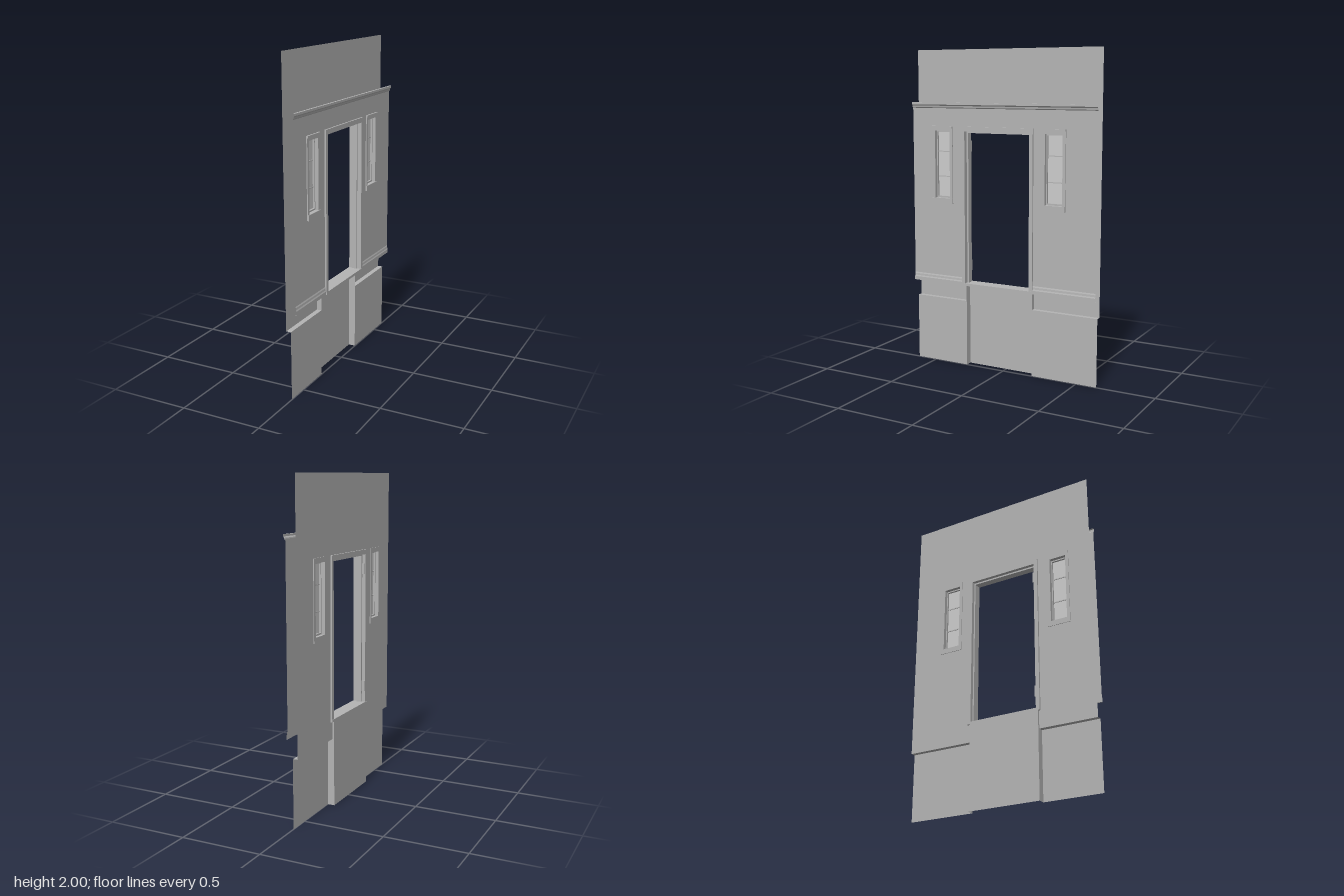
import * as THREE from 'three';

export function createModel() {
  const group = new THREE.Group();
  const plaster = new THREE.MeshStandardMaterial({ color: 0xb4b4b4, side: THREE.DoubleSide });
  plaster.name = 'grey plaster';
  const glass = new THREE.MeshStandardMaterial({ color: 0xcccccc, side: THREE.DoubleSide });
  glass.name = 'pale glass';

  const END = 0.633;                      // half length of the wall
  const FRONT = 0.03, BACK = -0.033;      // the two wall skins
  const door = { z0: -0.222, z1: 0.275, top: 1.53, bottom: 0.53 };
  const windows = [[0.34, 0.487], [-0.434, -0.28]];
  const winY = [1.045, 1.53];

  function add(name, geometry, material = plaster) {
    const mesh = new THREE.Mesh(geometry, material);
    mesh.name = name;
    group.add(mesh);
    return mesh;
  }

  function box(name, x0, x1, y0, y1, z0, z1, material) {
    const g = new THREE.BoxGeometry(x1 - x0, y1 - y0, z1 - z0);
    g.translate((x0 + x1) / 2, (y0 + y1) / 2, (z0 + z1) / 2);
    return add(name, g, material);
  }

  // Open sheet swept between two ends; place(p, t) gives a corner
  function sweep(name, path, a, b, place) {
    const v = [];
    for (let i = 0; i < path.length - 1; i++) {
      const p = place(path[i], a), q = place(path[i + 1], a);
      const r = place(path[i + 1], b), s = place(path[i], b);
      v.push(...p, ...q, ...r, ...p, ...r, ...s);
    }
    const g = new THREE.BufferGeometry();
    g.setAttribute('position', new THREE.Float32BufferAttribute(v, 3));
    g.computeVertexNormals();
    return add(name, g);
  }
  const alongZ = ([x, y], z) => [x, y, z];
  const alongY = ([x, z], y) => [x, y, z];

  const rect = (Type, z0, z1, y0, y1) => new Type([
    new THREE.Vector2(-z1, y0), new THREE.Vector2(-z0, y0),
    new THREE.Vector2(-z0, y1), new THREE.Vector2(-z1, y1)]);

  // Rectangular ring in the wall plane, from x0 to x1
  function ring(name, x0, x1, outer, inner) {
    const shape = rect(THREE.Shape, ...outer);
    shape.holes.push(rect(THREE.Path, ...inner));
    const g = new THREE.ExtrudeGeometry(shape, { depth: x1 - x0, bevelEnabled: false });
    g.rotateY(Math.PI / 2).translate(x0, 0, 0);
    return add(name, g);
  }

  // Wall skin with a doorway notch and two window holes
  function skin(name, x, bottom, top, z0, z1) {
    const pts = [[END, bottom], [z1, bottom], [z1, 1.515], [z0, 1.515],
      [z0, bottom], [-END, bottom], [-END, top], [END, top]];
    const shape = new THREE.Shape(pts.map(([z, y]) => new THREE.Vector2(-z, y)));
    for (const [a, b] of windows) {
      shape.holes.push(rect(THREE.Path, a + 0.01, b - 0.01, winY[0] + 0.01, winY[1] - 0.01));
    }
    const g = new THREE.ShapeGeometry(shape);
    g.rotateY(Math.PI / 2).translate(x, 0, 0);
    return add(name, g);
  }

  skin('outerWall', FRONT, 0.53, 1.65, -0.21, 0.262);
  skin('innerWall', BACK, 0.42, 2, -0.2, 0.265);

  // Cornice and baseboard mouldings
  sweep('cornice', [[FRONT, 1.64], [0.035, 1.645], [0.037, 1.655], [0.043, 1.662],
    [0.043, 1.675], [FRONT, 1.675]], -END, END, alongZ);
  for (const [a, b] of [[door.z1, END], [-END, door.z0]]) {
    sweep('baseboard', [[FRONT, 0.58], [0.033, 0.572], [0.034, 0.56], [0.037, 0.552],
      [0.037, 0.53], [FRONT, 0.53]], a, b, alongZ);
  }

  // Foundation: side panels with ledges, recessed panel below the door
  for (const [a, b] of [[0.265, END], [-END, -0.2]]) {
    sweep('foundationPanel', [[BACK, 0.42], [-0.002, 0.42], [-0.002, 0]], a, b, alongZ);
  }
  sweep('stepPanel', [[-0.002, 0.265], [-0.045, 0.265], [-0.045, -0.2], [-0.002, -0.2]],
    0, 0.53, alongY);

  // Door frame: casing, stop, threshold and hinges
  const zA = -0.198, zB = 0.25;
  for (const [a, b] of [[door.z0, zA], [zB, door.z1]]) {
    box('doorJamb', -0.043, 0.04, door.bottom, door.top, a, b);
  }
  box('doorHead', -0.043, 0.04, 1.5, door.top, zA, zB);
  box('doorThreshold', -0.045, 0.041, door.bottom, 0.546, door.z0, door.z1);
  box('doorStop', -0.02, 0.012, 0.546, 1.5, zA, -0.19);
  box('doorStop', -0.02, 0.012, 0.546, 1.5, 0.239, zB);
  box('doorStopHead', -0.02, 0.012, 1.49, 1.5, -0.19, 0.239);
  for (const y of [0.652, 1.408]) {
    box('hinge', -0.04, -0.022, y - 0.034, y + 0.034, 0.242, zB);
  }

  // Windows: casing, sill, sash, glass and glazing bars
  for (const [a, b] of windows) {
    ring('windowCasing', -0.037, 0.036, [a, b, ...winY], [a + 0.02, b - 0.02, 1.078, 1.5]);
    box('windowHead', FRONT, 0.041, 1.518, winY[1], a, b);
    box('windowSill', FRONT, 0.041, winY[0], 1.078, a, b);
    ring('windowSash', -0.014, 0.014, [a + 0.019, b - 0.019, 1.077, 1.501],
      [a + 0.026, b - 0.026, 1.088, 1.492]);
    box('windowGlass', -0.002, 0.002, 1.087, 1.493, a + 0.025, b - 0.025, glass);
    for (const y of [1.213, 1.37]) {
      box('glazingBar', -0.006, 0.006, y - 0.003, y + 0.003, a + 0.025, b - 0.025);
    }
  }

  return group;
}
